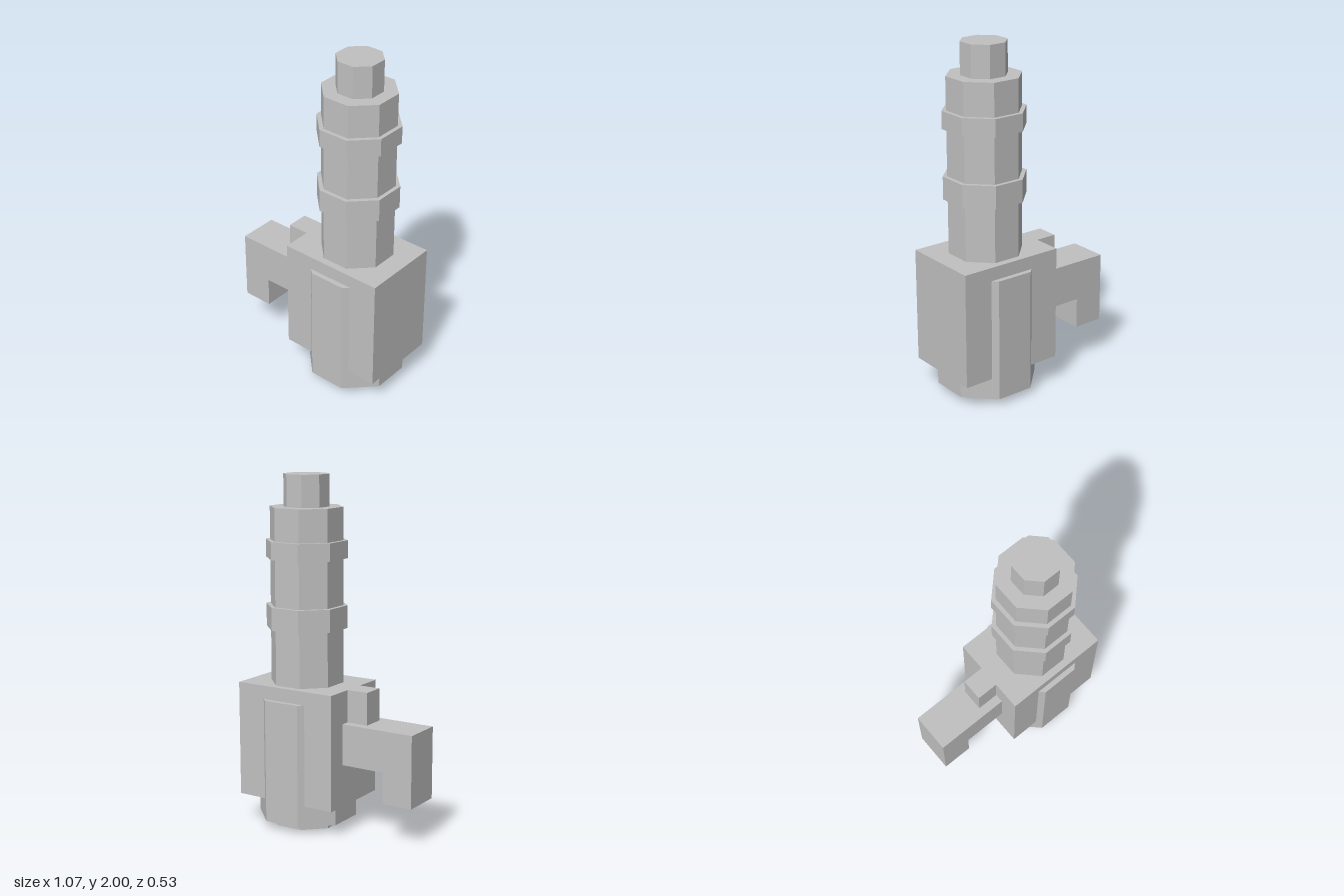
import * as THREE from 'three';

export function createModel() {
  const model = new THREE.Group();
  const grey = new THREE.MeshStandardMaterial({ color: 0xc0c0c0 });
  grey.name = 'grey metal';
  grey.flatShading = true;
  const axisX = 0.22;

  const add = (name, geometry, x, y) => {
    const mesh = new THREE.Mesh(geometry, grey);
    mesh.name = name;
    mesh.position.set(x, y, 0);
    model.add(mesh);
  };

  // Upright octagonal prism; apothem is the distance from the axis to a flat side
  const octagon = (name, apothem, y0, y1) => {
    const r = apothem / Math.cos(Math.PI / 8);
    const geometry = new THREE.CylinderGeometry(r, r, y1 - y0, 8).rotateY(Math.PI / 8);
    add(name, geometry, axisX, (y0 + y1) / 2);
  };

  // Box between given x and y limits, centred on z
  const box = (name, x0, x1, y0, y1, depth) =>
    add(name, new THREE.BoxGeometry(x1 - x0, y1 - y0, depth), (x0 + x1) / 2, (y0 + y1) / 2);

  // Column with collars and end cap
  octagon('column', 0.193, 0, 1.82);
  octagon('lowerCollar', 0.216, 1.14, 1.27);
  octagon('upperCollar', 0.216, 1.535, 1.635);
  octagon('topCap', 0.12, 1.82, 2);

  // Housing with the octagonal sleeve showing through front and back
  octagon('sleeve', 0.263, 0.04, 0.748);
  box('housing', -0.095, 0.53, 0.163, 0.825, 0.468);

  // Side arm, its foot and the tab above it
  box('arm', -0.535, -0.095, 0.405, 0.64, 0.233);
  box('armFoot', -0.535, -0.355, 0.227, 0.405, 0.233);
  box('tab', -0.222, -0.095, 0.64, 0.825, 0.13);

  return model;
}
